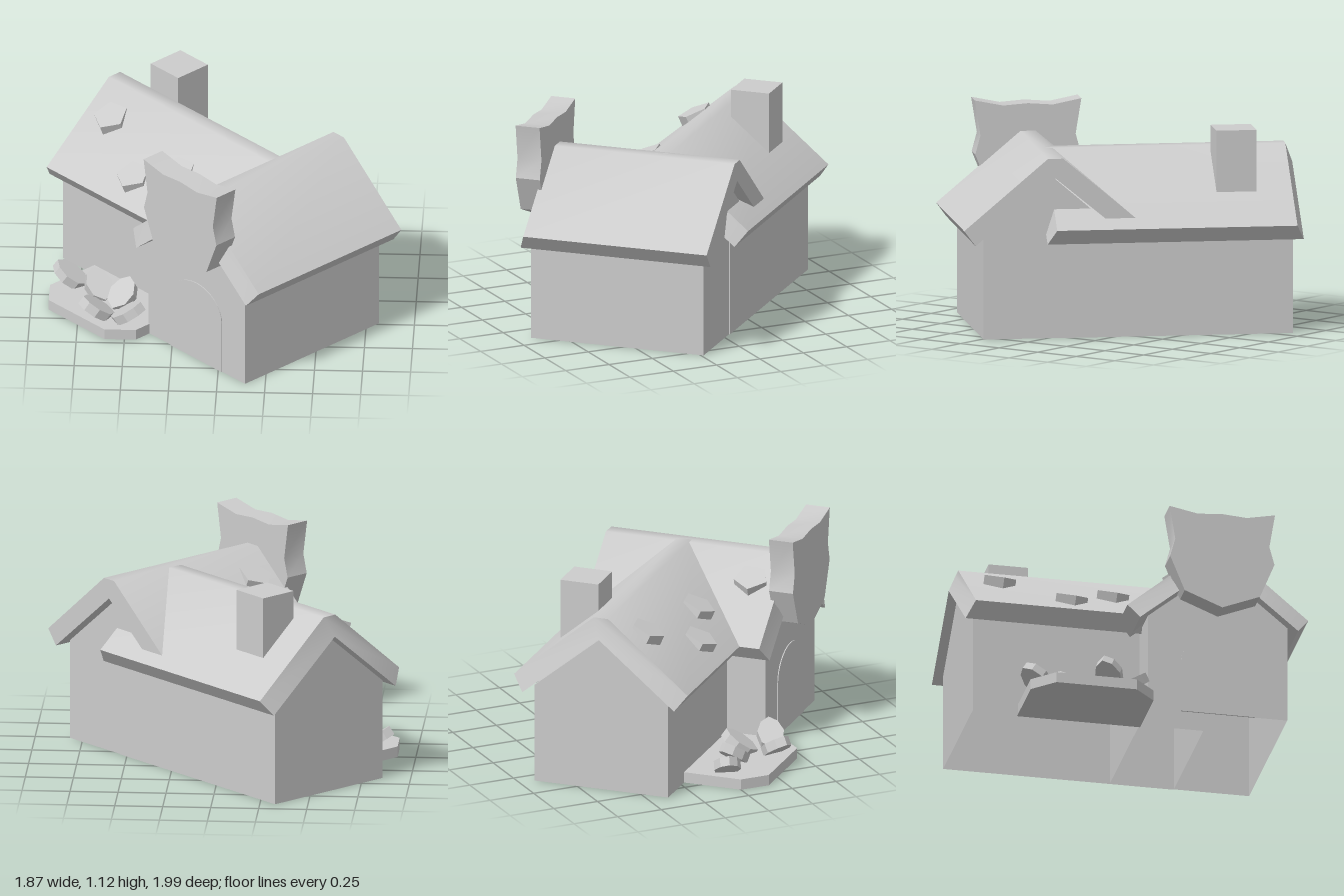
import * as THREE from 'three';
import { toCreasedNormals } from 'three/addons/utils/BufferGeometryUtils.js';

const stone = new THREE.MeshStandardMaterial({ color: 0xcccccc });
stone.name = 'plain grey';
const shell = new THREE.MeshStandardMaterial({ color: 0xcccccc, side: THREE.DoubleSide });
shell.name = 'plain grey open shell';

const polygon = (points) => new THREE.Shape(points.map(([x, y]) => new THREE.Vector2(x, y)));

// Extrusion of a profile from z = back to z = front
function prism(shape, back, front) {
  const geo = new THREE.ExtrudeGeometry(shape, { depth: front - back, bevelEnabled: false, curveSegments: 8 });
  geo.translate(0, 0, back);
  return geo.index ? geo.toNonIndexed() : geo;
}

function add(parent, name, geo, x = 0, y = 0, z = 0, material = stone) {
  const mesh = new THREE.Mesh(geo, material);
  mesh.name = name;
  mesh.position.set(x, y, z);
  parent.add(mesh);
  return mesh;
}

// Gabled slab with a narrow flat ridge; its lower edge leans out at the ends
function roofGeometry(back, front, leanBack, leanFront) {
  const geo = prism(polygon([
    [-0.48, 0.58], [-0.42, 0.5], [0, 0.847], [0.42, 0.5],
    [0.48, 0.58], [0.04, 0.95], [-0.04, 0.95],
  ]), back, front);
  const p = geo.attributes.position;
  const middle = (back + front) / 2;
  for (let i = 0; i < p.count; i++) {
    const top = 0.95 - 0.841 * Math.max(0, Math.abs(p.getX(i)) - 0.04);
    if (p.getY(i) < top - 0.04) {
      p.setZ(i, p.getZ(i) + (p.getZ(i) > middle ? leanFront : -leanBack));
    }
  }
  return toCreasedNormals(geo, 0.75);
}

// Pentagonal wall block, open underneath
function wallGeometry(back, front) {
  const w = 0.37;
  const geo = prism(polygon([[-w, 0], [w, 0], [w, 0.53], [0, 0.835], [-w, 0.53]]), back, front);
  const p = geo.attributes.position;
  const kept = [];
  for (let i = 0; i < p.count; i += 3) {
    if (Math.max(p.getY(i), p.getY(i + 1), p.getY(i + 2)) < 0.001) continue;
    for (let j = i; j < i + 3; j++) kept.push(p.getX(j), p.getY(j), p.getZ(j));
  }
  const open = new THREE.BufferGeometry();
  open.setAttribute('position', new THREE.Float32BufferAttribute(kept, 3));
  open.computeVertexNormals();
  return open;
}

// Chunky tile heading along (dx, dz), with that end tipped down by pitch
function tile(parent, name, geo, [x, y, z], dx, dz, pitch) {
  const mesh = add(parent, name, geo, x, y, z);
  mesh.rotation.set(pitch, Math.atan2(dx, dz), 0, 'YXZ');
}

export function createModel() {
  const model = new THREE.Group();
  model.name = 'shopHouse';
  const house = new THREE.Group();
  house.name = 'house';
  house.rotation.y = -Math.PI / 4;
  model.add(house);

  // Front wing with its gable to the front
  const wing = new THREE.Group();
  wing.name = 'frontWing';
  wing.position.x = 0.375;
  house.add(wing);
  add(wing, 'wingWalls', wallGeometry(-0.41, 0.54), 0, 0, 0, shell);
  add(wing, 'wingRoof', roofGeometry(-0.465, 0.545, 0, 0.035));

  // Side hall at right angles to the wing
  const hall = new THREE.Group();
  hall.name = 'sideHall';
  hall.position.z = -0.045;
  hall.rotation.y = Math.PI / 2;
  house.add(hall);
  add(hall, 'hallWalls', wallGeometry(-0.88, 0.345), 0, 0, 0, shell);
  add(hall, 'hallRoof', roofGeometry(-0.887, 0.375, 0.042, 0.042));

  // Chimney
  add(house, 'chimney', new THREE.BoxGeometry(0.21, 0.46, 0.21), -0.594, 0.83, -0.233);

  // Arched door plate
  const arch = new THREE.Shape();
  arch.moveTo(-0.195, 0);
  arch.lineTo(0.195, 0);
  arch.lineTo(0.195, 0.29);
  arch.absellipse(0, 0.29, 0.195, 0.16, 0, Math.PI, false);
  arch.lineTo(-0.195, 0);
  add(wing, 'door', prism(arch, 0.538, 0.545));

  // Shield-shaped sign on the gable
  const side = [[0.2, 0.64], [0.277, 0.83], [0.25, 0.93], [0.28, 1.115], [0.13, 1.085]];
  const shield = [[0, 0.56], ...side, [0, 1.095], ...side.map(([x, y]) => [-x, y]).reverse()];
  add(wing, 'shieldSign', toCreasedNormals(prism(polygon(shield), 0.525, 0.657), 0.6));

  // Loose roof tiles, tipped flatter than the slope
  const tileGeo = toCreasedNormals(new THREE.CylinderGeometry(0.092, 0.092, 0.06, 5), 0.5);
  [[-0.707, 0.83, 0.14], [-0.36, 0.685, 0.304], [-0.12, 0.77, 0.205]].forEach((p) =>
    tile(house, 'hallRoofTile', tileGeo, p, 0.15, 1, 0.42));
  tile(house, 'wingRoofTile', tileGeo, [0.205, 0.83, 0.39], -1, 0.1, 0.42);

  // Flower bed with clipped outer corners
  const bed = prism(polygon([
    [-0.64, -0.3], [0.014, -0.3], [0.014, -0.636], [-0.1, -0.753], [-0.527, -0.753], [-0.64, -0.64],
  ]), 0, 0.057);
  bed.rotateX(-Math.PI / 2);
  add(house, 'flowerBed', bed);

  // Thick leaves leaning outwards from the bed
  const leafOutline = polygon([
    [0, -0.1], [0.055, -0.06], [0.07, 0.01], [0.045, 0.07], [0, 0.1],
    [-0.045, 0.07], [-0.07, 0.01], [-0.055, -0.06],
  ]);
  const leafGeo = prism(leafOutline, -0.025, 0.025);
  leafGeo.rotateX(Math.PI / 2);
  [
    [-0.587, 0.544, -0.92, 0.5], [-0.403, 0.516, -1, -0.35], [-0.247, 0.488, -0.14, -0.57],
    [-0.233, 0.686, -0.57, 0.85], [-0.085, 0.6, 0.92, -0.5],
  ].forEach(([x, z, dx, dz]) => tile(house, 'leaf', leafGeo, [x, 0.105, z], dx, dz, -0.6));

  return model;
}
